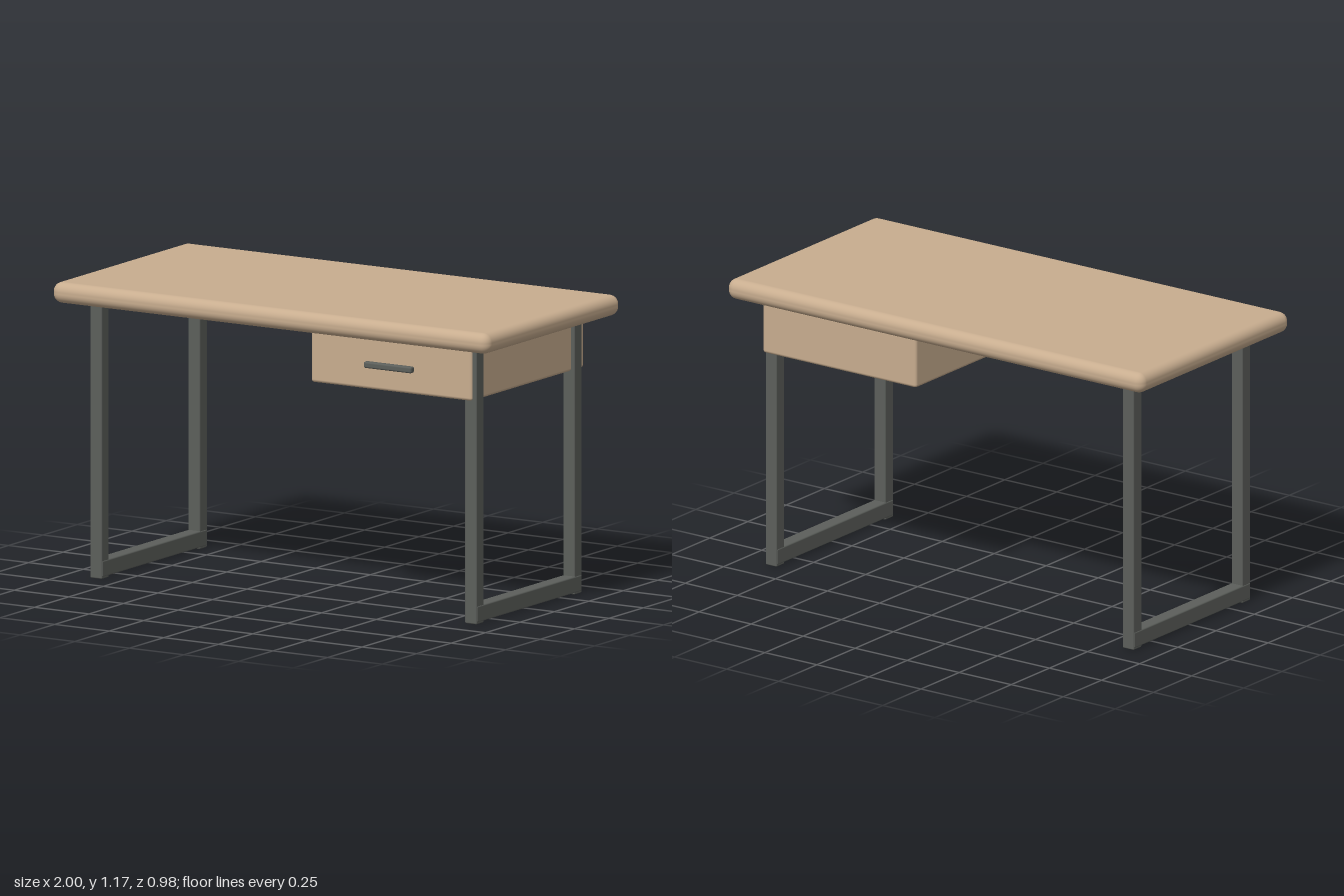
import * as THREE from 'three';
import { RoundedBoxGeometry } from 'three/addons/geometries/RoundedBoxGeometry.js';

export function createModel() {
  const desk = new THREE.Group();
  desk.name = 'desk';

  const wood = new THREE.MeshStandardMaterial({ color: 0xc8ad8f });
  wood.name = 'lightWood';
  const metal = new THREE.MeshStandardMaterial({ color: 0x5c5f5b });
  metal.name = 'darkMetal';

  // Rounded box given by its minimum and maximum corners
  function box(name, material, min, max, radius, parent = desk, segments = 3) {
    const size = max.map((v, i) => v - min[i]);
    const mesh = new THREE.Mesh(new RoundedBoxGeometry(...size, segments, radius), material);
    mesh.position.set(...max.map((v, i) => (v + min[i]) / 2));
    mesh.name = name;
    parent.add(mesh);
  }

  // Table top with full round edges
  box('tableTop', wood, [-1, 1.09, -0.49], [1, 1.172, 0.49], 0.037, desk, 4);

  // Drawer under the left end, with a bar handle
  box('drawer', wood, [0.13, 0.88, -0.425], [0.868, 1.085, 0.39], 0.012);
  box('drawerHandle', metal, [0.388, 0.967, 0.392], [0.607, 0.992, 0.418], 0.007);

  // U-shaped leg frames, one at each end
  for (const [name, x] of [['leftLegFrame', 0.858], ['rightLegFrame', -0.858]]) {
    const frame = new THREE.Group();
    frame.name = name;
    frame.position.x = x;
    desk.add(frame);
    for (const [legName, z] of [['frontLeg', 0.356], ['backLeg', -0.356]]) {
      box(legName, metal, [-0.027, 0, z - 0.027], [0.027, 1.1, z + 0.027], 0.005, frame, 2);
    }
    box('footRail', metal, [-0.029, 0.007, -0.381], [0.029, 0.072, 0.381], 0.006, frame, 2);
  }

  return desk;
}
